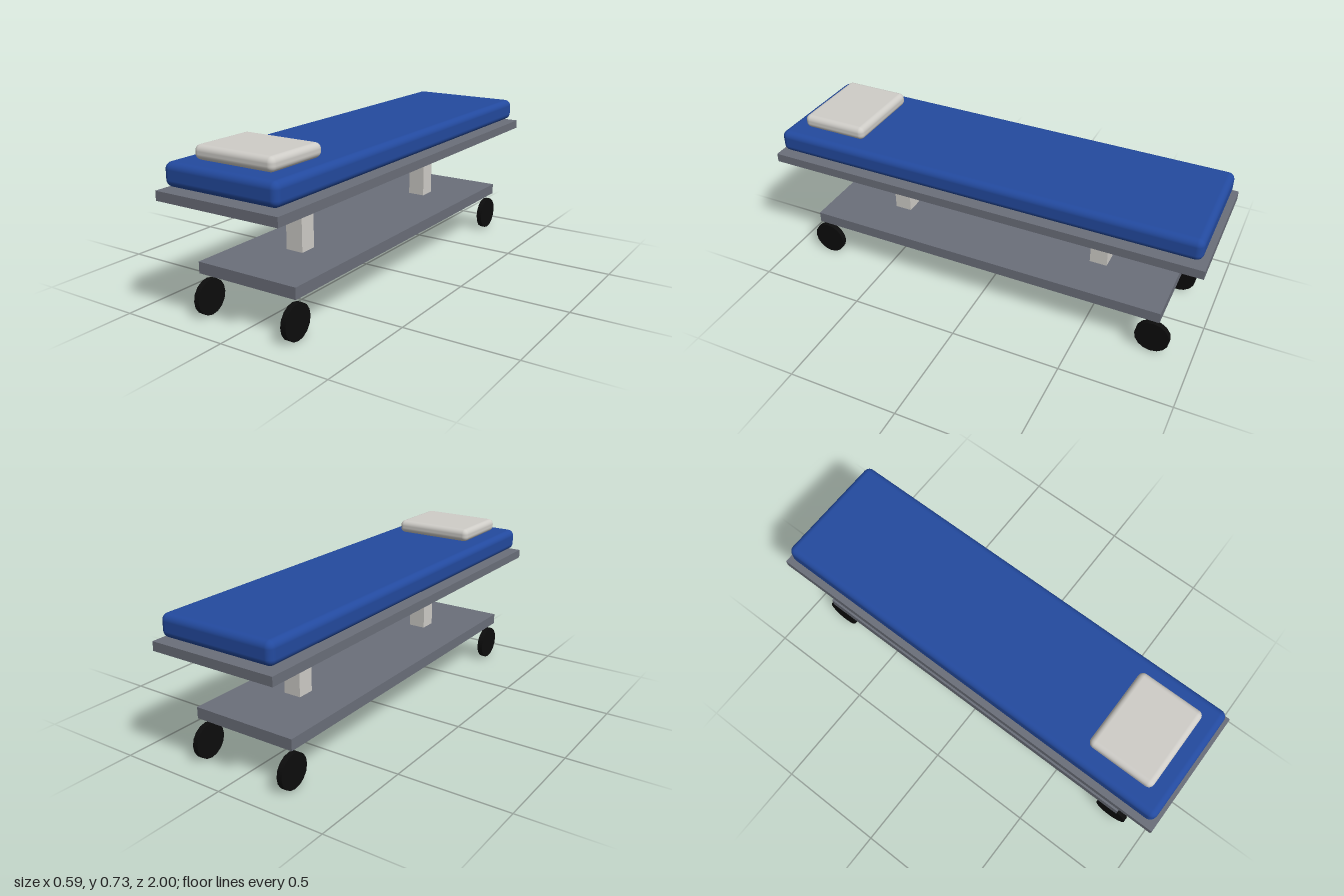
import * as THREE from 'three';
import { RoundedBoxGeometry } from 'three/addons/geometries/RoundedBoxGeometry.js';

const material = (name, color) => {
  const m = new THREE.MeshStandardMaterial({ color });
  m.name = name;
  return m;
};

export function createModel() {
  const group = new THREE.Group();
  group.name = 'wheeledStretcher';

  const steel = material('greySteel', 0x6b6f7a);
  const pale = material('paleGrey', 0xcfcdc8);
  const blue = material('blueVinyl', 0x234a9f);
  const rubber = material('blackRubber', 0x0c0c0c);

  const add = (name, geometry, mat, x, y, z) => {
    const mesh = new THREE.Mesh(geometry, mat);
    mesh.name = name;
    mesh.position.set(x, y, z);
    group.add(mesh);
  };

  // Flat platforms
  add('deck', new THREE.BoxGeometry(0.594, 0.04, 2), steel, 0, 0.535, 0);
  add('base', new THREE.BoxGeometry(0.49, 0.05, 1.694), steel, 0, 0.206, 0);

  // Soft parts: the mattress floats just above the deck
  add('mattress', new RoundedBoxGeometry(0.55, 0.1, 1.956, 4, 0.03), blue, 0, 0.617, 0);
  add('pillow', new RoundedBoxGeometry(0.386, 0.061, 0.307, 4, 0.025), pale, 0, 0.6975, 0.743);

  // Support columns and wheels, front and back
  const column = new THREE.BoxGeometry(0.082, 0.284, 0.08);
  const wheel = new THREE.CylinderGeometry(0.0775, 0.0775, 0.025, 16).rotateZ(Math.PI / 2);
  for (const end of [1, -1]) {
    const endName = end > 0 ? 'front' : 'back';
    add(`${endName}Column`, column, pale, 0, 0.373, end * 0.5);
    for (const side of [1, -1]) {
      const sideName = side > 0 ? 'Left' : 'Right';
      add(`${endName}${sideName}Wheel`, wheel, rubber, side * 0.22, 0.0775, end * 0.82);
    }
  }
  return group;
}
